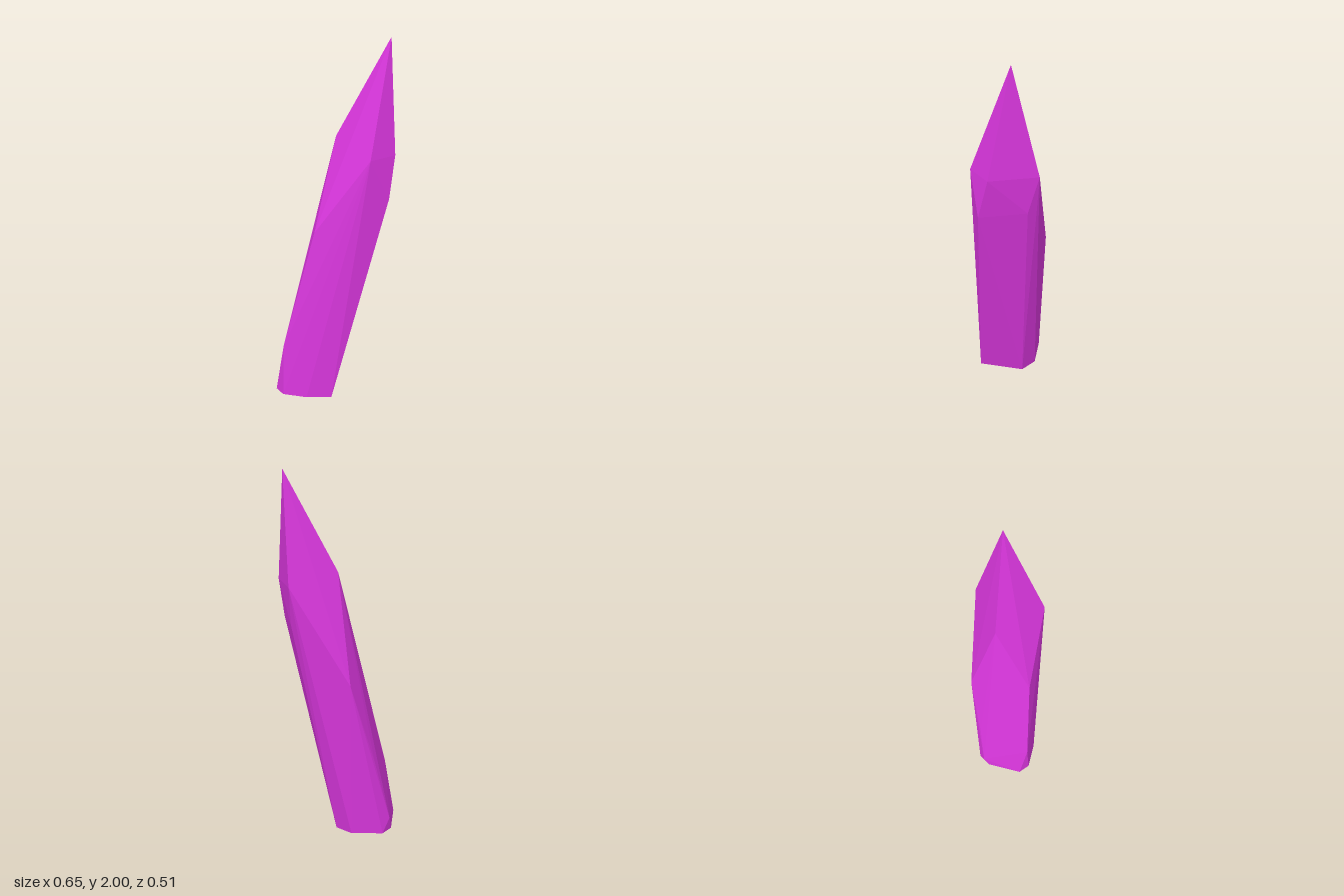
import * as THREE from 'three';
import { ConvexGeometry } from 'three/addons/geometries/ConvexGeometry.js';

export function createModel() {
  const group = new THREE.Group();
  group.name = 'crystal';
  const magenta = new THREE.MeshStandardMaterial({ color: 0xd836dc });
  magenta.name = 'magenta crystal';

  // flat foot outline (x, z), running round the shard
  const foot = [
    [-0.325, -0.08], [-0.19, -0.236], [-0.115, -0.258], [0.03, -0.16],
    [0.065, -0.06], [-0.085, 0.145], [-0.21, 0.08], [-0.315, -0.01],
  ].map(([x, z]) => [x, 0, z]);

  // corners where the long leaning facets are cut
  const shaft = [
    [-0.165, 0.08, -0.253], [-0.3, 0.31, -0.02], [-0.08, 0.43, -0.224],
    [0.065, 0.9, -0.195], [-0.14, 1.0, 0.058],
    [0.195, 1.2, 0.255], [0.29, 1.22, 0.025],
  ];

  // shoulder ring and the point above it
  const tip = [
    [0.245, 1.42, 0.222], [0.085, 1.42, 0.247], [0.325, 1.43, -0.02],
    [0.045, 1.48, -0.048], [0.272, 2, 0.11],
  ];

  // every facet is a face of the convex hull of these corners
  const corners = [...foot, ...shaft, ...tip].map((p) => new THREE.Vector3(...p));
  const shard = new THREE.Mesh(new ConvexGeometry(corners), magenta);
  shard.name = 'crystalShard';
  group.add(shard);
  return group;
}
